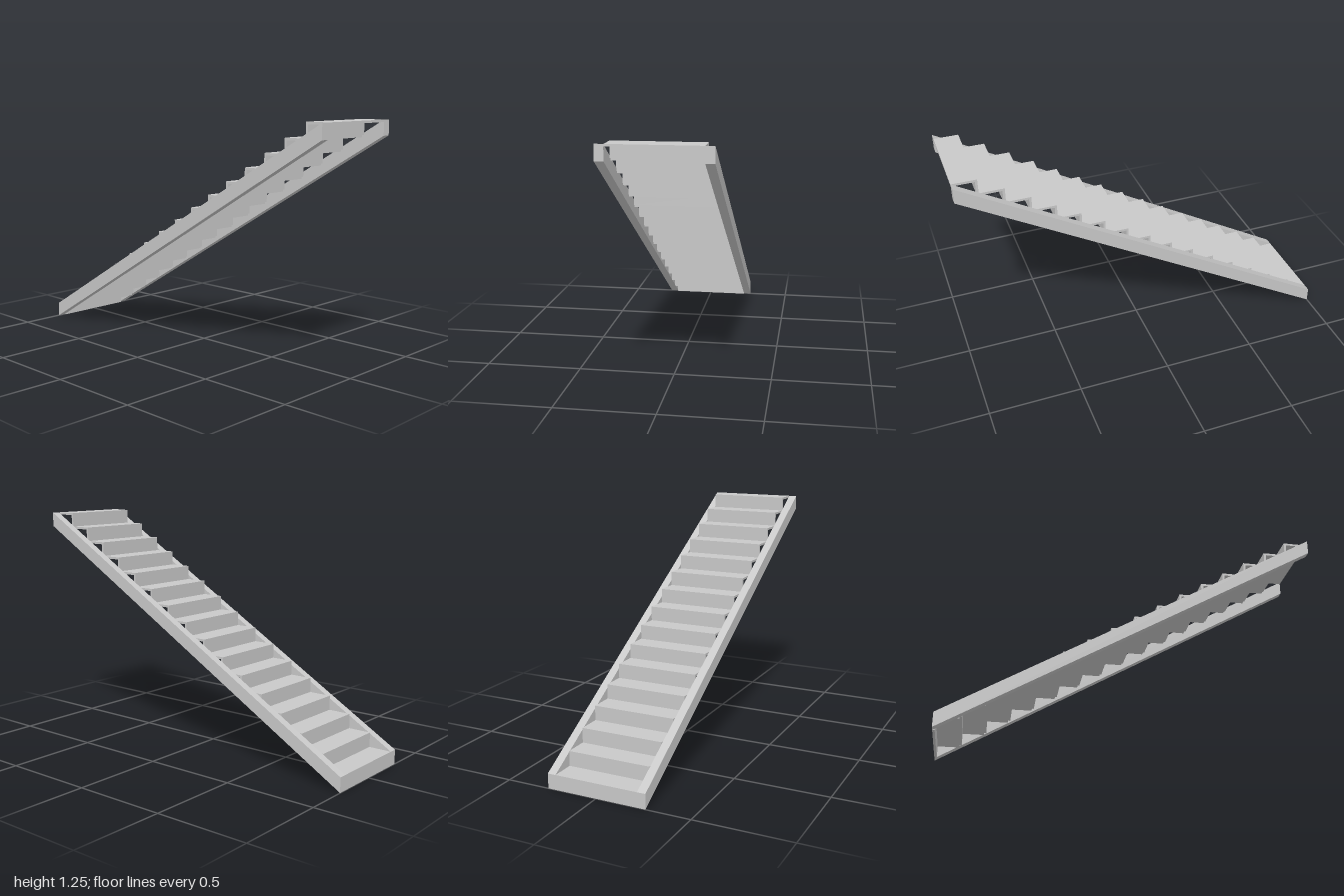
import * as THREE from 'three';

export function createModel() {
  const model = new THREE.Group();
  const grey = new THREE.MeshStandardMaterial({ color: 0xc8c8c8 });
  grey.name = 'plain grey';

  const steps = 16;
  const run = 2 / steps;
  const rise = 1.25 / steps;
  const board = 0.012; // thickness of treads and risers
  const inner = 0.224; // half width between the stringers
  const outer = 0.268; // half width overall

  const add = (name, geometry, x, y, z) => {
    const mesh = new THREE.Mesh(geometry, grey);
    mesh.name = name;
    mesh.position.set(x, y, z);
    model.add(mesh);
  };

  // Sloping stringers with plumb-cut ends
  const side = new THREE.Shape([
    new THREE.Vector2(-1, 0),
    new THREE.Vector2(1, 1.25 - rise),
    new THREE.Vector2(1, 1.25),
    new THREE.Vector2(-1, rise),
  ]);
  const stringer = new THREE.ExtrudeGeometry(side, { depth: outer - inner, bevelEnabled: false });
  add('leftStringer', stringer, 0, 0, -outer);
  add('rightStringer', stringer, 0, 0, inner);

  // Each riser stands behind the tread below and carries the next tread
  const tread = new THREE.BoxGeometry(run, board, inner * 2);
  const riser = new THREE.BoxGeometry(board, rise - board, inner * 2);
  for (let i = 0; i < steps; i++) {
    const x = -1 + i * run;
    const top = (i + 1) * rise;
    add(`tread${i + 1}`, tread, x + run / 2, top - board / 2, 0);
    add(`riser${i + 1}`, riser, x + board / 2, top - (rise + board) / 2, 0);
  }
  return model;
}
